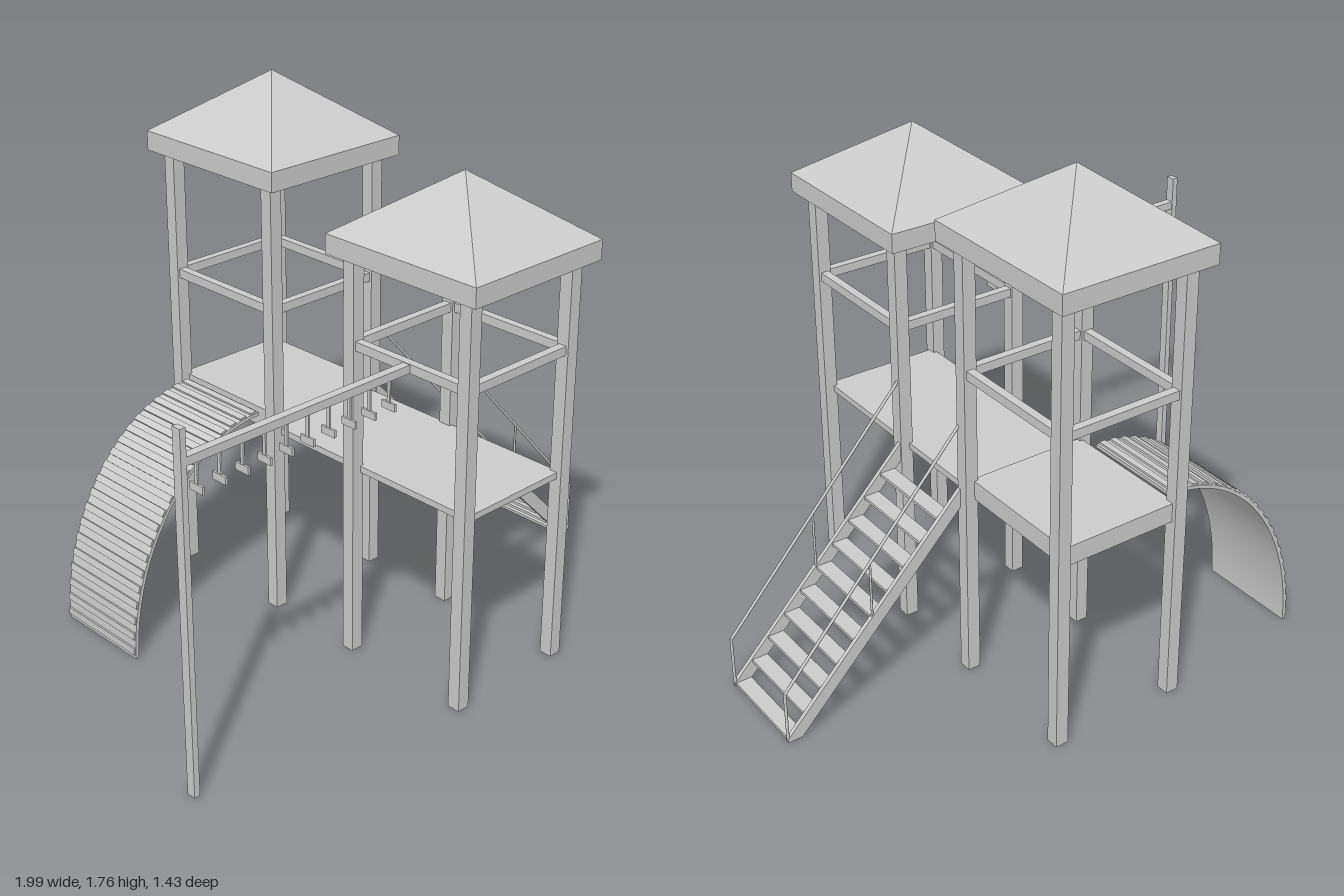
import * as THREE from 'three';

const X0 = -0.123, X1 = 0.315, XC = (X0 + X1) / 2;
const POST = 0.044;

export function createModel() {
  const model = new THREE.Group();
  const mat = new THREE.MeshStandardMaterial({ color: 0xcccccc });
  const flat = new THREE.MeshStandardMaterial({ color: 0xcccccc, flatShading: true });

  const add = (name, geo, parent = model, material = mat) => {
    const mesh = new THREE.Mesh(geo, material);
    mesh.name = name;
    parent.add(mesh);
    return mesh;
  };
  // Box given by its low and high limits on each axis
  const box = (name, x0, x1, y0, y1, z0, z1, parent) => {
    const mesh = add(name, new THREE.BoxGeometry(x1 - x0, y1 - y0, z1 - z0), parent);
    mesh.position.set((x0 + x1) / 2, (y0 + y1) / 2, (z0 + z1) / 2);
    return mesh;
  };
  // Round bar between two points
  const bar = (name, a, b, r, parent) => {
    const dir = b.clone().sub(a);
    const mesh = add(name, new THREE.CylinderGeometry(r, r, dir.length(), 8), parent);
    mesh.position.copy(a).add(b).multiplyScalar(0.5);
    mesh.quaternion.setFromUnitVectors(new THREE.Vector3(0, 1, 0), dir.normalize());
    return mesh;
  };
  // Outline in x and y, extruded along z from z0 to z1
  const slab = (name, points, z0, z1, parent) => {
    const geo = new THREE.ExtrudeGeometry(new THREE.Shape(points),
      { depth: z1 - z0, bevelEnabled: false });
    geo.translate(0, 0, z0);
    return add(name, geo, parent);
  };

  // Towers: four posts, a ring of rails and a hipped roof
  const tower = (name, zA, zB, eave, roofLip, apex) => {
    const g = new THREE.Group();
    g.name = name;
    model.add(g);
    const h = POST / 2, zc = (zA + zB) / 2, rail = 0.014;
    for (const x of [X0, X1]) {
      for (const z of [zA, zB]) box('post', x - h, x + h, 0, eave + 0.01, z - h, z + h, g);
      box('sideRail', x - rail, x + rail, 1.064, 1.094, zA + h, zB - h, g);
    }
    for (const z of [zA, zB]) box('crossRail', X0 + h, X1 - h, 1.064, 1.094, z - rail, z + rail, g);
    const hw = 0.274, hd = 0.299;
    box('roofEdge', XC - hw, XC + hw, eave, roofLip, zc - hd, zc + hd, g);
    const cone = new THREE.ConeGeometry(Math.SQRT2, apex - roofLip, 4);
    cone.rotateY(Math.PI / 4);
    cone.scale(hw, 1, hd);
    add('roof', cone, g, flat).position.set(XC, (roofLip + apex) / 2, zc);
  };
  tower('frontTower', 0.182, 0.65, 1.363, 1.427, 1.632);
  tower('backTower', -0.648, -0.182, 1.493, 1.558, 1.765);

  // Platforms: a thin deck and bridge, and the thicker raised deck
  box('frontDeckAndBridge', X0 + 0.01, X1 - 0.01, 0.643, 0.665, -0.18, 0.655);
  box('backDeck', X0 + 0.01, X1 - 0.01, 0.64, 0.705, -0.655, -0.19);

  // Stairs with thin treads and handrails
  const stairs = new THREE.Group();
  stairs.name = 'stairs';
  model.add(stairs);
  const V2 = (x, y) => new THREE.Vector2(x, y);
  for (const s of [-1, 1]) {
    const zc = 0.003 + s * 0.169;
    slab('stringer', [V2(0.32, 0.625), V2(0.935, 0), V2(0.985, 0), V2(0.985, 0.012),
      V2(0.335, 0.675), V2(0.32, 0.675)], zc - 0.007, zc + 0.007, stairs);
    const P = (x, y) => new THREE.Vector3(x, y, zc);
    bar('handrail', P(0.325, 0.905), P(0.982, 0.18), 0.005, stairs);
    bar('handrailEndPost', P(0.982, 0.184), P(0.982, 0), 0.005, stairs);
    bar('handrailMidPost', P(0.665, 0.525), P(0.665, 0.33), 0.004, stairs);
  }
  for (let i = 0; i < 10; i++) {
    const y = 0.006 + i * 0.0642, x = 0.955 - i * 0.0628;
    box('tread', x - 0.028, x + 0.026, y - 0.005, y + 0.005, -0.162, 0.168, stairs);
  }

  // Curved climbing ramp: a quarter ellipse band with raised grips
  const ramp = new THREE.Group();
  ramp.name = 'climbingRamp';
  model.add(ramp);
  const cx = -0.135, rx = 0.546, ry = 0.702, thick = 0.012, N = 40;
  const arc = (t, d) => V2(cx - (rx - d) * Math.sin(t), (ry - d) * Math.cos(t));
  const outer = [], inner = [];
  for (let i = 0; i <= N; i++) {
    const t = (i / N) * Math.PI / 2;
    outer.push(arc(t, 0));
    inner.push(arc(t, thick));
  }
  slab('rampShell', [...outer, ...inner.reverse()], -0.6, -0.245, ramp);
  const grips = 20;
  for (let i = 0; i < grips; i++) {
    const t = ((i + 0.5) / grips) * Math.PI / 2;
    const p = arc(t, -0.001);
    const grip = add('grip', new THREE.BoxGeometry(0.024, 0.01, 0.35), ramp);
    grip.position.set(p.x, p.y, -0.4225);
    grip.rotation.z = Math.atan2(ry * Math.sin(t), rx * Math.cos(t));
  }

  // Overhead bar with hanging grips and its end post
  const bars = new THREE.Group();
  bars.name = 'overheadBars';
  model.add(bars);
  const zb = 0.418;
  box('endPost', -1, -0.98, 0, 1.18, zb - 0.016, zb + 0.016, bars);
  box('beam', -0.985, X0, 1.065, 1.092, zb - 0.014, zb + 0.014, bars);
  for (let i = 0; i < 10; i++) {
    const x = -0.936 + i * 0.0808;
    box('hanger', x - 0.003, x + 0.003, 0.985, 1.07, zb - 0.006, zb + 0.006, bars);
    box('handle', x - 0.004, x + 0.004, 0.968, 0.992, zb - 0.027, zb + 0.027, bars);
  }
  return model;
}
